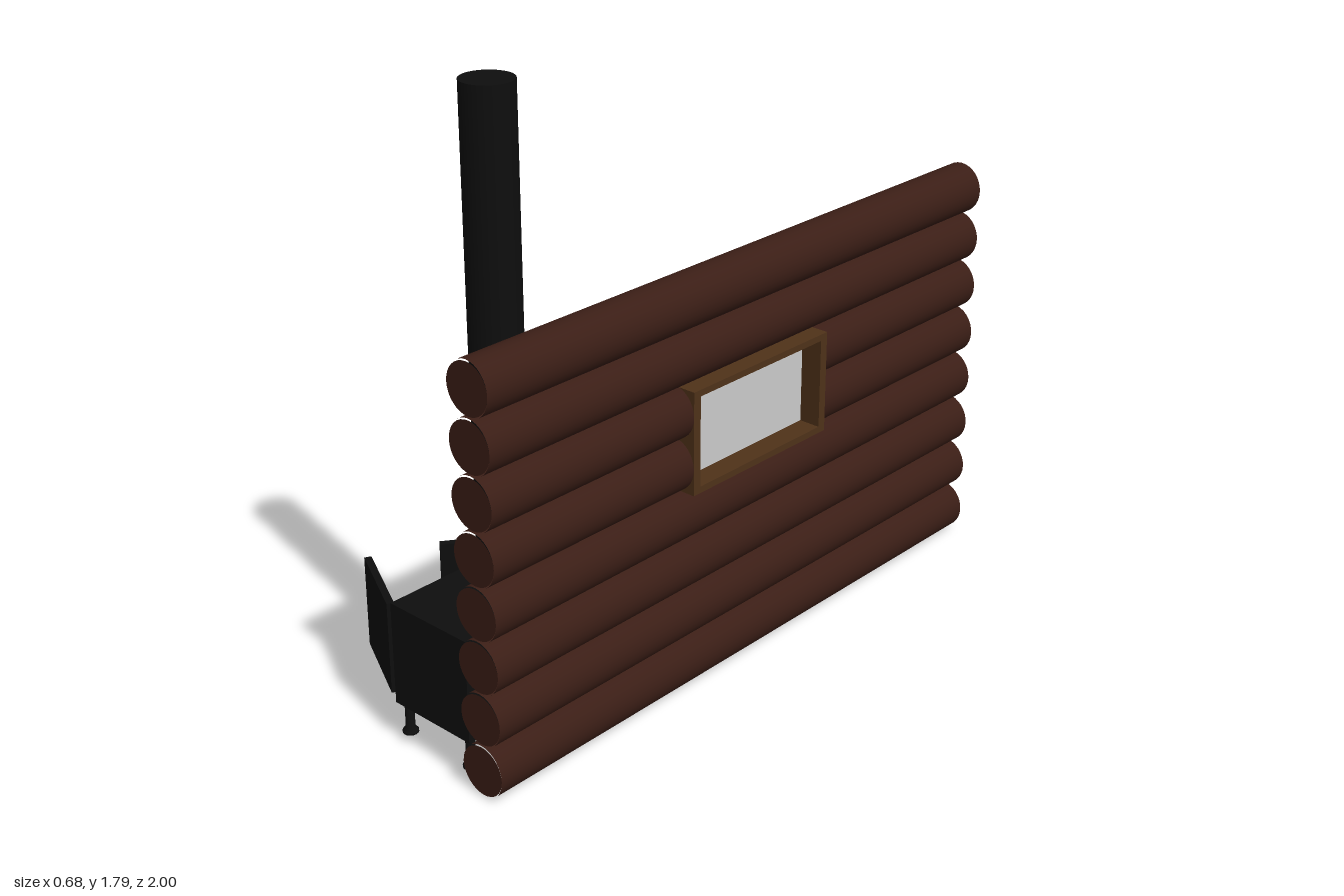
import * as THREE from 'three';

const mat = (color) => new THREE.MeshStandardMaterial({ color });

export function createModel() {
  const model = new THREE.Group();
  const bark = mat(0x3b1e16);
  const timber = mat(0x4f3219);
  const iron = mat(0x0e0e0e);
  const pane = mat(0xcccccc);

  const add = (name, geometry, material, x, y, z, parent = model) => {
    const mesh = new THREE.Mesh(geometry, material);
    mesh.name = name;
    mesh.position.set(x, y, z);
    parent.add(mesh);
    return mesh;
  };

  // Log wall: eight stacked logs, two of them cut for the window
  const wallX = 0.271, pitch = 0.152, radius = 0.071, winHalf = 0.278;
  const wall = new THREE.Group();
  wall.name = 'logWall';
  model.add(wall);
  const addLog = (y, z0, z1) => {
    const length = z1 - z0;
    const tube = new THREE.CylinderGeometry(radius, radius, length, 32, 1, true);
    tube.rotateX(Math.PI / 2).scale(1, pitch / 2 / radius, 1); // logs rest on each other
    add('log', tube, bark, wallX, y, (z0 + z1) / 2, wall);
    for (const end of [z0, z1]) {
      const cap = add('logEnd', new THREE.CircleGeometry(radius, 32), bark, wallX, y, end, wall);
      if (end === z0) cap.rotation.y = Math.PI;
    }
  };
  for (let i = 0; i < 8; i++) {
    const y = pitch * (i + 0.5);
    if (i === 4 || i === 5) {
      addLog(y, -1, -winHalf);
      addLog(y, winHalf, 1);
    } else addLog(y, -1, 1);
  }

  // Window: deep timber frame with a thin pane
  const rect = (path, w, h) => {
    path.moveTo(-w, -h);
    path.lineTo(w, -h);
    path.lineTo(w, h);
    path.lineTo(-w, h);
    path.closePath();
    return path;
  };
  const frameShape = rect(new THREE.Shape(), winHalf, 0.151);
  frameShape.holes.push(rect(new THREE.Path(), 0.252, 0.132));
  const frameGeo = new THREE.ExtrudeGeometry(frameShape, { depth: 0.142, bevelEnabled: false });
  frameGeo.translate(0, 0, -0.071).rotateY(Math.PI / 2);
  add('windowFrame', frameGeo, timber, wallX, 0.759, 0);
  add('windowPane', new THREE.BoxGeometry(0.01, 0.264, 0.504), pane, wallX, 0.759, 0);

  // Stove: hollow firebox open towards -x
  const stove = new THREE.Group();
  stove.name = 'stove';
  model.add(stove);
  const t = 0.02, sx = 0.062, sz = 0.705, w = 0.285, d = 0.555;
  add('stoveTop', new THREE.BoxGeometry(w, t, d), iron, sx, 0.41, sz, stove);
  add('stoveBottom', new THREE.BoxGeometry(w, t, d), iron, sx, 0.13, sz, stove);
  add('stoveBack', new THREE.BoxGeometry(t, 0.26, d), iron, 0.195, 0.27, sz, stove);
  for (const s of [-1, 1]) {
    add('stoveSide', new THREE.BoxGeometry(w, 0.26, t), iron, sx, 0.27, sz + s * (d - t) / 2, stove);
  }

  // Open doors, each spanning from hinge to free edge
  const addDoor = (hx, hz, ex, ez) => {
    const length = Math.hypot(ex - hx, ez - hz);
    const door = add('stoveDoor', new THREE.BoxGeometry(length, 0.27, 0.02), iron,
      (hx + ex) / 2, 0.27, (hz + ez) / 2, stove);
    door.rotation.y = -Math.atan2(ez - hz, ex - hx);
    add('doorHinge', new THREE.CylinderGeometry(0.008, 0.008, 0.25, 10), iron, -0.087, 0.27, hz, stove);
  };
  addDoor(-0.098, 0.45, -0.25, 0.662);
  addDoor(-0.1, 0.967, -0.335, 0.846);

  // Legs with flared feet
  const legProfile = [[0, 0], [0.022, 0], [0.022, 0.006], [0.013, 0.018], [0.013, 0.1], [0, 0.1]]
    .map(([r, y]) => new THREE.Vector2(r, y));
  for (const x of [-0.06, 0.177]) {
    for (const z of [0.455, 0.955]) {
      add('stoveLeg', new THREE.LatheGeometry(legProfile, 16), iron, x, 0.025, z, stove);
    }
  }

  // Chimney pipe
  add('chimney', new THREE.CylinderGeometry(0.071, 0.071, 1.38, 32), iron, 0.071, 1.105, 0.719, stove);

  return model;
}
